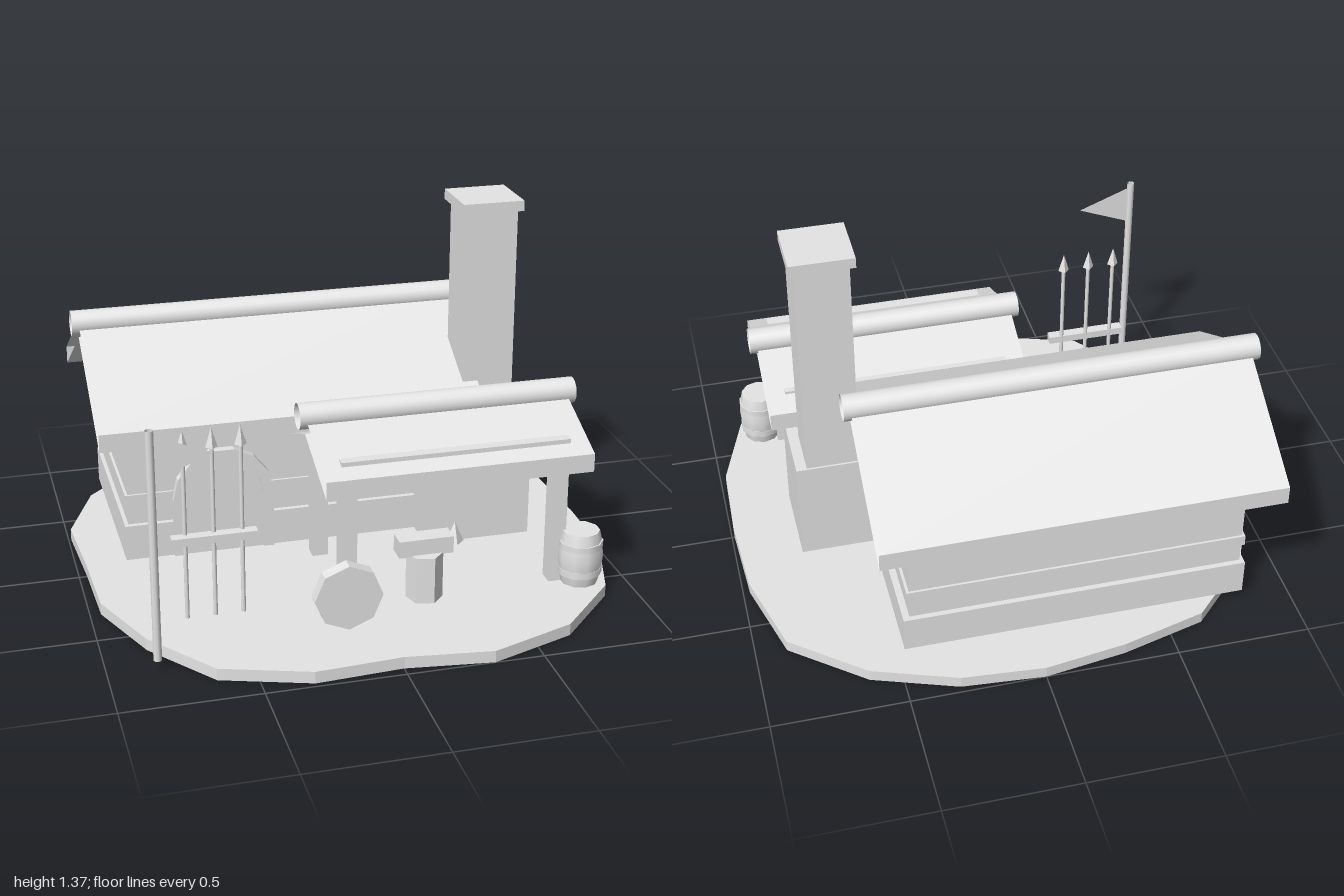
import * as THREE from 'three';

const stone = new THREE.MeshStandardMaterial({ color: 0xe5e5e5, side: THREE.DoubleSide });
stone.name = 'plain grey';

export function createModel() {
  const model = new THREE.Group();
  model.name = 'smithy';

  const add = (name, geometry, x = 0, y = 0, z = 0) => {
    const mesh = new THREE.Mesh(geometry, stone);
    mesh.name = name;
    mesh.position.set(x, y, z);
    model.add(mesh);
    return mesh;
  };
  // Box given by its limits on each axis
  const box = (name, x0, x1, y0, y1, z0, z1) =>
    add(name, new THREE.BoxGeometry(x1 - x0, y1 - y0, z1 - z0),
      (x0 + x1) / 2, (y0 + y1) / 2, (z0 + z1) / 2);
  const flat = (geometry) => {
    const g = geometry.toNonIndexed();
    g.computeVertexNormals();
    return g;
  };
  // Prism along x from a [z, y] profile, optionally with open ends
  const prism = (name, profile, x0, x1, open = false) => {
    const shape = new THREE.Shape(profile.map(([z, y]) => new THREE.Vector2(-z, y)));
    let g = new THREE.ExtrudeGeometry(shape, { depth: x1 - x0, bevelEnabled: false });
    g.rotateY(Math.PI / 2);
    if (open) {
      const sides = new THREE.BufferGeometry();
      const start = g.groups[1].start;
      sides.setAttribute('position',
        new THREE.Float32BufferAttribute(g.attributes.position.array.slice(start * 3), 3));
      sides.computeVertexNormals();
      g = sides;
    }
    return add(name, g, x0, 0, 0);
  };
  // Pitched roof with an open-ended ridge log
  const roof = (name, x0, x1, zMid, half, ridgeY, eaveY, thick, logY) => {
    prism(name, [
      [zMid, ridgeY], [zMid + half, eaveY], [zMid + half, eaveY - thick],
      [zMid, ridgeY - thick], [zMid - half, eaveY - thick], [zMid - half, eaveY],
    ], x0, x1, true);
    const log = new THREE.CylinderGeometry(0.049, 0.049, x1 - x0 + 0.056, 20, 1, true);
    log.rotateZ(Math.PI / 2);
    add(name + 'Ridge', log, (x0 + x1) / 2, logY, zMid);
  };
  // Arched shape standing on y0, with a rounded top of radius r
  const archShape = (r, y0, yMid, holeR) => {
    const trace = (path, radius) => {
      path.moveTo(-radius, y0);
      path.lineTo(radius, y0);
      for (let i = 0; i <= 7; i++) {
        const a = (i / 7) * Math.PI;
        path.lineTo(Math.cos(a) * radius, yMid + Math.sin(a) * radius);
      }
      path.closePath();
      return path;
    };
    const shape = trace(new THREE.Shape(), r);
    if (holeR) shape.holes.push(trace(new THREE.Path(), holeR));
    return shape;
  };
  const arch = (name, x, r, inner, y0, yMid) => {
    const ext = (s, depth) => new THREE.ExtrudeGeometry(s, { depth, bevelEnabled: false });
    add(name + 'Frame', ext(archShape(r, y0, yMid, inner), 0.043), x, 0, -0.04);
    add(name + 'Panel', ext(archShape(inner, y0, yMid), 0.034), x, 0, -0.04);
  };

  // Uneven ground slab
  const rim = [
    [0, -1], [0.31, -0.975], [0.62, -0.865], [0.885, -0.65], [0.975, -0.32], [0.99, 0],
    [0.98, 0.32], [0.875, 0.64], [0.64, 0.885], [0.32, 1], [0, 0.96], [-0.32, 0.98],
    [-0.64, 0.875], [-0.84, 0.61], [-0.96, 0.31], [-0.97, 0], [-0.99, -0.33],
    [-0.87, -0.63], [-0.63, -0.87], [-0.31, -0.955],
  ];
  const slab = new THREE.ExtrudeGeometry(
    new THREE.Shape(rim.map(([x, z]) => new THREE.Vector2(x, -z))),
    { depth: 0.045, bevelEnabled: false });
  slab.rotateX(-Math.PI / 2);
  add('ground', slab);

  // House: gabled walls, plinth and timber bands
  prism('houseWalls', [[-0.77, 0.045], [-0.03, 0.045], [-0.03, 0.67], [-0.4, 0.88], [-0.77, 0.67]],
    -0.8, 0.45);
  box('plinth', -0.815, 0.475, 0.045, 0.185, -0.79, -0.01);
  for (const [y0, y1] of [[0.265, 0.308], [0.48, 0.523]])
    box('wallBand', -0.81, 0.46, y0, y1, -0.779, -0.021);
  roof('houseRoof', -0.91, 0.57, -0.4, 0.484, 0.892, 0.61, 0.07, 0.88);
  arch('door', -0.435, 0.195, 0.155, 0.045, 0.275);
  arch('window', 0.145, 0.105, 0.08, 0.31, 0.43);

  // Forge and chimney
  box('forge', 0.33, 0.75, 0.045, 0.45, -0.195, 0.14);
  box('forgeMouth', 0.435, 0.64, 0.23, 0.35, 0.13, 0.156);
  box('chimney', 0.51, 0.71, 0.45, 1.33, -0.187, 0.01);
  box('chimneyCap', 0.49, 0.727, 1.325, 1.365, -0.205, 0.03);

  // Awning on four posts, with beams showing through the roof
  roof('awningRoof', -0.19, 0.81, 0.31, 0.315, 0.703, 0.577, 0.07, 0.704);
  for (const z of [0.497, 0.073]) {
    for (const x of [-0.12, 0.68]) box('awningPost', x, x + 0.06, 0.045, 0.6, z, z + 0.062);
    box('awningBeam', -0.12, 0.74, 0.555, 0.618, z, z + 0.067);
  }
  for (const x of [-0.12, 0.72])
    prism('awningGable', [[0.09, 0.615], [0.53, 0.615], [0.31, 0.7]], x, x + 0.02);

  // Anvil on its stump
  add('anvilStump', flat(new THREE.CylinderGeometry(0.068, 0.068, 0.18, 6)), 0.197, 0.135, 0.55)
    .rotation.y = 0.3;
  box('anvil', 0.095, 0.3, 0.22, 0.285, 0.497, 0.572);
  add('anvilHorn', flat(new THREE.ConeGeometry(0.035, 0.08, 4)), 0.312, 0.29, 0.543);

  // Octagonal shield
  const shield = new THREE.CylinderGeometry(0.124, 0.124, 0.052, 8);
  shield.rotateX(Math.PI / 2);
  add('shield', flat(shield), -0.143, 0.19, 0.737);

  // Spear rack
  for (const x of [-0.672, -0.569, -0.466]) {
    add('spearShaft', new THREE.CylinderGeometry(0.008, 0.008, 0.655, 8), x, 0.372, 0.495);
    add('spearHead', flat(new THREE.ConeGeometry(0.022, 0.075, 4)), x, 0.738, 0.495);
  }
  box('spearRackBar', -0.725, -0.415, 0.345, 0.375, 0.488, 0.528);

  // Flagpole with a thin pennant
  add('flagpole', new THREE.CylinderGeometry(0.015, 0.015, 0.855, 8, 1, true), -0.825, 0.472, 0.765);
  const pennant = new THREE.Shape([[-0.82, 0.88], [-0.82, 0.715], [-0.61, 0.798]]
    .map(([x, y]) => new THREE.Vector2(x, y)));
  add('pennant', new THREE.ShapeGeometry(pennant), 0, 0, 0.765);

  // Barrel with two hoops
  const staves = [[0, 0], [0.07, 0], [0.07, 0], [0.081, 0.05], [0.086, 0.105], [0.081, 0.16],
    [0.07, 0.21], [0.07, 0.21], [0, 0.21]].map(([r, y]) => new THREE.Vector2(r, y));
  add('barrel', new THREE.LatheGeometry(staves, 10), 0.795, 0.043, 0.57);
  for (const y of [0.095, 0.2])
    add('barrelHoop', new THREE.CylinderGeometry(0.084, 0.084, 0.025, 10), 0.795, y, 0.57);

  return model;
}
